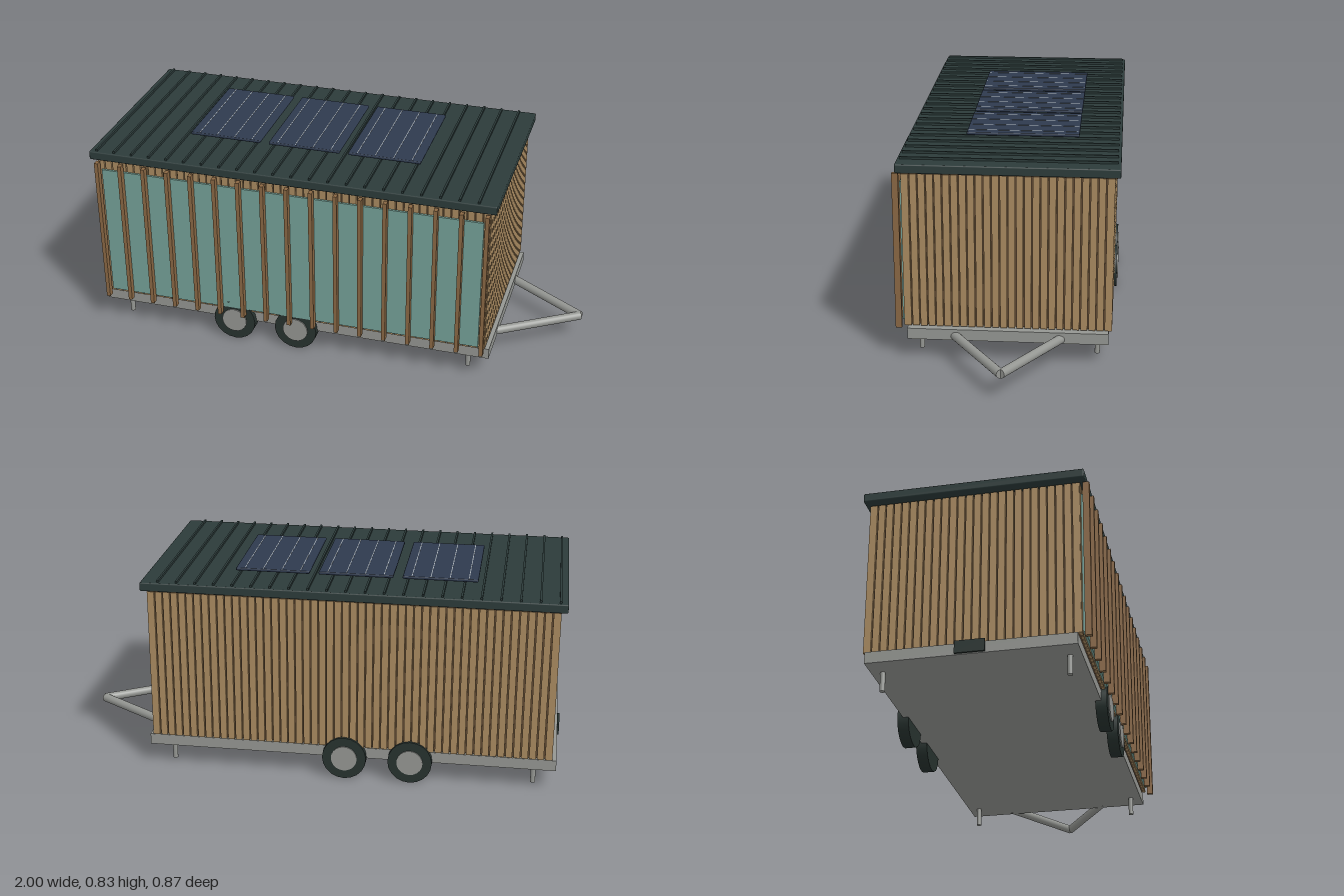
import * as THREE from 'three';
import { RoundedBoxGeometry } from 'three/addons/geometries/RoundedBoxGeometry.js';

const mat = (name, color) => {
  const m = new THREE.MeshStandardMaterial({ color });
  m.name = name;
  return m;
};

export function createModel() {
  const timber = mat('timber', 0xa98a60);
  const slatWood = mat('slat wood', 0x8a6844);
  const shadowGap = mat('dark joint', 0x5f4831);
  const roofMetal = mat('roof metal', 0x2c3b3a);
  const steel = mat('steel', 0x949692);
  const rubber = mat('rubber', 0x27322f);
  const glass = mat('glass', 0x75a198);
  const solar = mat('solar cell', 0x2e3a4e);
  const silver = mat('silver line', 0xa9b0b6);

  const model = new THREE.Group();
  model.name = 'trailerCabin';
  const ZC = -0.007; // centre line of the trailer

  const add = (name, geometry, material, parent = model) => {
    const mesh = new THREE.Mesh(geometry, material);
    mesh.name = name;
    parent.add(mesh);
    return mesh;
  };
  // Box given by its limits on each axis
  const box = (name, material, x0, x1, y0, y1, z0, z1, parent = model, radius = 0) => {
    const size = [x1 - x0, y1 - y0, z1 - z0];
    const geometry = radius
      ? new RoundedBoxGeometry(...size, 2, radius)
      : new THREE.BoxGeometry(...size);
    const mesh = add(name, geometry, material, parent);
    mesh.position.set((x0 + x1) / 2, (y0 + y1) / 2, (z0 + z1) / 2);
    return mesh;
  };
  const group = (name) => {
    const g = new THREE.Group();
    g.name = name;
    model.add(g);
    return g;
  };
  // Round bar between two points
  const bar = (name, material, a, b, radius, parent = model) => {
    const from = new THREE.Vector3(...a), to = new THREE.Vector3(...b);
    const dir = to.clone().sub(from);
    const mesh = add(name, new THREE.CylinderGeometry(radius, radius, dir.length(), 20), material, parent);
    mesh.position.copy(from).add(to).multiplyScalar(0.5);
    mesh.quaternion.setFromUnitVectors(new THREE.Vector3(0, 1, 0), dir.normalize());
    return mesh;
  };

  // Chassis with rear plate
  box('chassis', steel, -0.992, 0.676, 0.086, 0.131, -0.4, 0.387);
  box('rearPlate', rubber, -1, -0.991, 0.09, 0.139, -0.063, 0.05);

  // Cabin core and board cladding on all four sides
  const X0 = -0.975, X1 = 0.66, Z0 = -0.413, Z1 = 0.4, Y0 = 0.138, Y1 = 0.763, T = 0.01;
  box('cabinCore', shadowGap, X0 + T, X1 - T, Y0 + 0.002, Y1 - 0.002, Z0 + T, Z1 - T);
  const cladding = group('cladding');
  const boards = (count, start, end, place) => {
    const pitch = (end - start) / count;
    for (let i = 0; i < count; i++) {
      place(start + i * pitch + 0.0025, start + (i + 1) * pitch - 0.0025);
    }
  };
  boards(52, X0, X1, (a, b) => {
    box('frontBoard', timber, a, b, Y0, Y1, Z1 - T, Z1, cladding);
    box('backBoard', timber, a, b, Y0, Y1, Z0, Z0 + T, cladding);
  });
  boards(26, Z0, Z1, (a, b) => {
    box('hitchEndBoard', timber, X1 - T, X1, Y0, Y1, a, b, cladding);
    box('rearEndBoard', timber, X0, X0 + T, Y0, Y1, a, b, cladding);
  });

  // Front glazing and sun slats
  box('glazing', glass, -0.955, 0.634, 0.15, 0.724, 0.4, 0.409);
  const slats = group('sunSlats');
  for (let i = 0; i < 17; i++) {
    const x = -0.967 + i * 0.1011;
    box('sunSlat', slatWood, x - 0.008, x + 0.008, 0.125, 0.763, 0.41, 0.435, slats);
  }

  // Roof with standing seams
  box('roof', roofMetal, -1, 0.683, 0.771, 0.807, -0.434, 0.42, model, 0.005);
  const seams = group('roofSeams');
  for (let i = 0; i < 22; i++) {
    const x = -0.97 + i * 0.0753;
    box('roofSeam', roofMetal, x - 0.004, x + 0.004, 0.806, 0.816, -0.423, 0.41, seams);
  }

  // Solar panels with four silver lines each
  const panels = group('solarPanels');
  for (const x of [-0.497, -0.16, 0.177]) {
    box('solarPanel', solar, x - 0.15, x + 0.15, 0.819, 0.831, -0.265, 0.184, panels, 0.004);
    for (const dx of [-0.113, -0.038, 0.038, 0.113]) {
      box('panelLine', silver, x + dx - 0.0015, x + dx + 0.0015, 0.83, 0.832, -0.26, 0.179, panels);
    }
  }

  // Two axles of wheels, mirrored side to side
  const wheels = group('wheels');
  for (const x of [-0.406, -0.138]) {
    for (const side of [1, -1]) {
      bar('tyre', rubber, [x, 0.09, ZC + side * 0.371], [x, 0.09, ZC + side * 0.416], 0.09, wheels);
      bar('hub', steel, [x, 0.09, ZC + side * 0.38], [x, 0.09, ZC + side * 0.421], 0.053, wheels);
    }
  }

  // Support legs and drawbar
  for (const side of [1, -1]) {
    for (const x of [-0.902, 0.584]) {
      bar('supportLeg', steel, [x, 0.01, ZC + side * 0.349], [x, 0.09, ZC + side * 0.349], 0.01);
    }
    bar('drawbar', steel, [0.66, 0.102, ZC + side * 0.212], [0.988, 0.102, ZC], 0.018);
  }

  return model;
}
